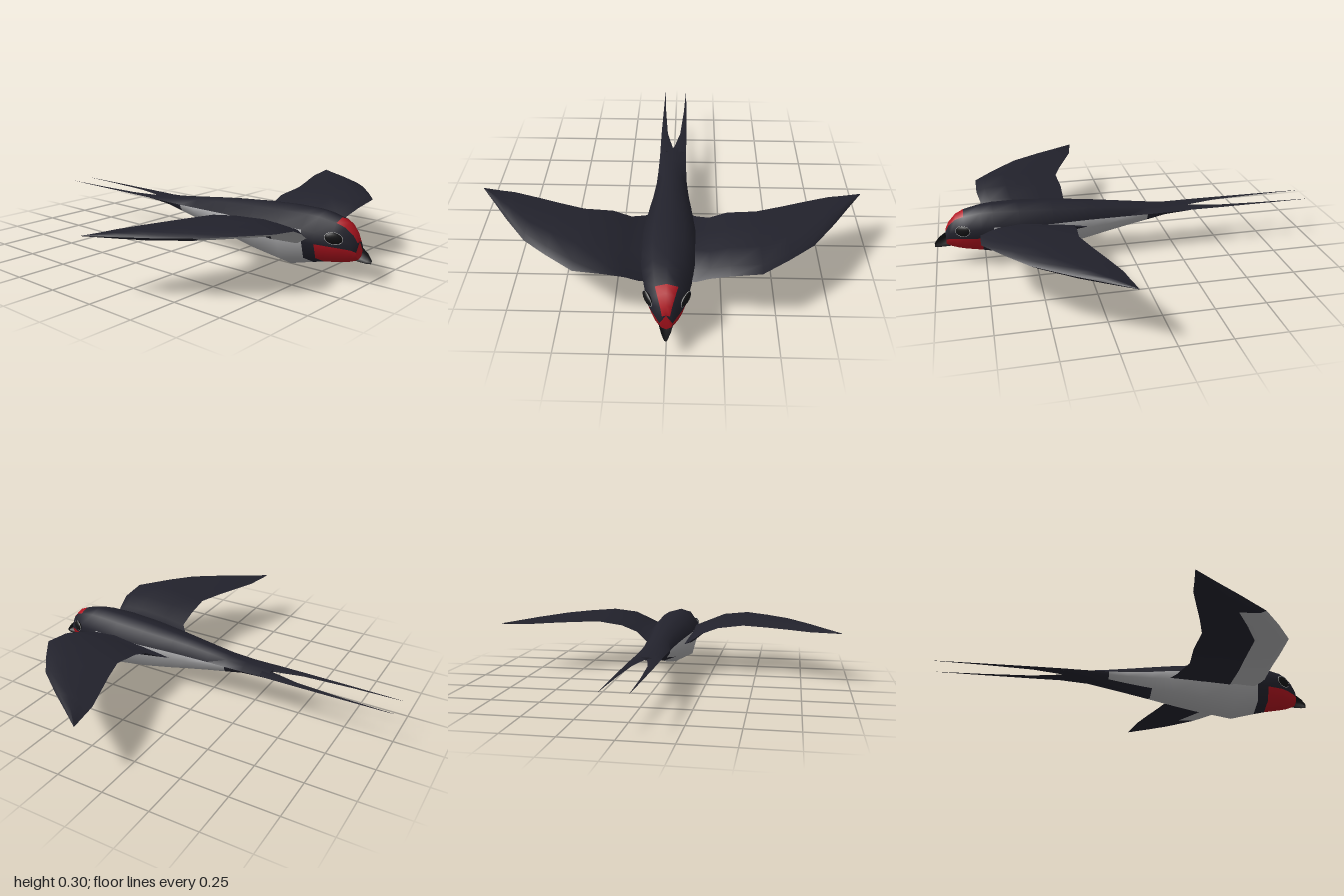
import * as THREE from 'three';
import { toCreasedNormals } from 'three/addons/utils/BufferGeometryUtils.js';

const paint = (color, roughness = 0.7) => new THREE.MeshStandardMaterial({ color, roughness });
const DARK = paint(0x22222c), WHITE = paint(0xaaaaac), RED = paint(0xb0141f);
const BLACK = paint(0x141416), RIM = paint(0xc0c0c0);

// Skin a list of rings; colorOf(i, j) picks the material of each quad.
function loft(name, rings, colorOf, { flip = false, crease = 0.8 } = {}) {
  const pos = [], mats = [];
  const n = rings[0].length;
  const tri = (a, b, c, m) => {
    pos.push(...a, ...(flip ? c : b), ...(flip ? b : c));
    mats.push(m);
  };
  for (let i = 0; i < rings.length - 1; i++) {
    for (let j = 0; j < n; j++) {
      const k = (j + 1) % n, m = colorOf(i, j);
      tri(rings[i][j], rings[i][k], rings[i + 1][j], m);
      tri(rings[i][k], rings[i + 1][k], rings[i + 1][j], m);
    }
  }
  // end caps
  const first = rings[0], last = rings[rings.length - 1];
  for (let j = 1; j < n - 1; j++) {
    tri(first[0], first[j + 1], first[j], colorOf(0, j));
    tri(last[0], last[j], last[j + 1], colorOf(rings.length - 2, j));
  }
  let geo = new THREE.BufferGeometry();
  geo.setAttribute('position', new THREE.Float32BufferAttribute(pos, 3));
  geo = toCreasedNormals(geo, crease);

  // one mesh per colour, keeping the shared normals
  const group = new THREE.Group();
  group.name = name;
  for (const m of new Set(mats)) {
    const part = new THREE.BufferGeometry();
    part.setAttribute('position', geo.attributes.position);
    part.setAttribute('normal', geo.attributes.normal);
    const index = [];
    mats.forEach((x, t) => { if (x === m) index.push(3 * t, 3 * t + 1, 3 * t + 2); });
    part.setIndex(index);
    const mesh = new THREE.Mesh(part, m);
    mesh.name = name + (m === WHITE ? 'PaleUnderside' : m === RED ? 'RedPatch' : 'Plumage');
    group.add(mesh);
  }
  return group;
}

// Head and trunk: z, top, widest height, bottom, half width
const BODY = [
  [0.94, 0.185, 0.155, 0.1, 0.03],
  [0.92, 0.225, 0.175, 0.088, 0.045],
  [0.885, 0.262, 0.19, 0.075, 0.068],
  [0.845, 0.28, 0.2, 0.066, 0.088],
  [0.76, 0.298, 0.21, 0.05, 0.106],
  [0.7, 0.3, 0.22, 0.035, 0.118],
  [0.57, 0.298, 0.22, 0.0, 0.132],
  [0.4, 0.288, 0.215, 0.03, 0.125],
  [0.22, 0.272, 0.21, 0.07, 0.104],
  [0.13, 0.262, 0.205, 0.093, 0.092],
  [0, 0.245, 0.2, 0.125, 0.08],
  [-0.1, 0.23, 0.198, 0.15, 0.076],
  [-0.2, 0.216, 0.198, 0.176, 0.074],
  [-0.34, 0.207, 0.2, 0.193, 0.072],
];

function body() {
  const rings = BODY.map(([z, top, mid, low, w]) => {
    const down = (t) => mid + (low - mid) * t;
    const half = [
      [0.58 * w, top - 0.2 * (top - mid), z], [w, mid, z],
      [0.96 * w, down(0.32), z], [0.76 * w, down(0.77), z],
    ];
    const other = half.map(([x, y]) => [-x, y, z]).reverse();
    return [[0, top, z], ...half, [0, low, z], ...other];
  });
  return loft('body', rings, (i, j) => {
    const s = Math.min(j, 9 - j);           // strip, 0 = crown, 4 = keel
    if (i < 3 && s === 0) return RED;       // forehead
    if (i < 4 && s >= 3) return RED;        // throat
    if (i >= 5 && s >= 2 && i < (s === 4 ? 9 : 11)) return WHITE;
    return DARK;
  }, { crease: 1.0 });
}

function beak() {
  // z, top, bottom, half width
  const rings = [
    [0.915, 0.175, 0.09, 0.036], [0.945, 0.165, 0.088, 0.03],
    [0.975, 0.143, 0.087, 0.021], [1.0, 0.112, 0.09, 0.009],
  ].map(([z, t, b, w]) => [
    [0, t, z], [0.8 * w, t - 0.2 * (t - b), z], [w, (t + b) / 2, z], [0.6 * w, b + 0.1 * (t - b), z],
    [0, b, z], [-0.6 * w, b + 0.1 * (t - b), z], [-w, (t + b) / 2, z], [-0.8 * w, t - 0.2 * (t - b), z],
  ]);
  return loft('beak', rings, () => BLACK, { crease: 1.0 });
}

// Wing stations: x, leading z, trailing z, upper y, lower y
const WING = [
  [0.08, 0.71, 0.2, 0.225, 0.12],
  [0.125, 0.735, 0.25, 0.23, 0.145],
  [0.19, 0.75, 0.31, 0.25, 0.198],
  [0.28, 0.77, 0.31, 0.286, 0.232],
  [0.42, 0.77, 0.32, 0.3, 0.252],
  [0.55, 0.672, 0.277, 0.299, 0.253],
  [0.67, 0.57, 0.232, 0.295, 0.253],
  [0.79, 0.405, 0.188, 0.288, 0.253],
  [0.86, 0.3, 0.176, 0.281, 0.258],
  [0.955, 0.162, 0.158, 0.271, 0.268],
];

function wing(side) {
  const rings = WING.map(([x, lead, trail, up, low]) => {
    const at = (t, h) => [side * x, low + (up - low) * h, lead + (trail - lead) * t];
    return [at(1, 0.42), at(0.7, 0.78), at(0.35, 1), at(0.1, 0.85), at(0, 0.5), at(0.1, 0.12), at(0.4, 0), at(0.7, 0.15)];
  });
  return loft(side > 0 ? 'leftWing' : 'rightWing', rings,
    (i, j) => (i < 6 && (j === 4 || j === 5) ? WHITE : DARK), { flip: side < 0 });
}

// Forked tail streamer: z, inner x, outer x, half thickness
function streamer(side) {
  const rings = [
    [-0.3, 0, 0.072, 0.009], [-0.34, 0.001, 0.073, 0.007], [-0.5, 0.036, 0.073, 0.003],
    [-0.75, 0.054, 0.07, 0.0015], [-1, 0.064, 0.066, 0.0005],
  ].map(([z, a, b, h]) => {
    const m = (a + b) / 2;
    return [[side * m, 0.2 + h, z], [side * b, 0.2, z], [side * m, 0.2 - h, z], [side * a, 0.2, z]];
  });
  return loft(side > 0 ? 'leftTailStreamer' : 'rightTailStreamer', rings, () => DARK, { flip: side < 0 });
}

function eye(side) {
  const group = new THREE.Group();
  group.name = side > 0 ? 'leftEye' : 'rightEye';
  const ball = new THREE.Mesh(new THREE.SphereGeometry(1, 20, 12), BLACK);
  ball.name = 'eyeball';
  ball.scale.set(0.041, 0.027, 0.013);
  const rim = new THREE.Mesh(new THREE.TorusGeometry(1, 0.035, 6, 24), RIM);
  rim.name = 'eyeRim';
  rim.scale.set(0.042, 0.028, 0.03);
  rim.position.z = 0.002;
  group.add(ball, rim);
  group.position.set(side * 0.083, 0.2, 0.853);
  group.rotation.set(0, side * 1.05, side * 0.2);
  return group;
}

export function createModel() {
  const bird = new THREE.Group();
  bird.name = 'flyingBird';
  bird.add(body(), beak());
  for (const side of [1, -1]) bird.add(wing(side), streamer(side), eye(side));
  return bird;
}
